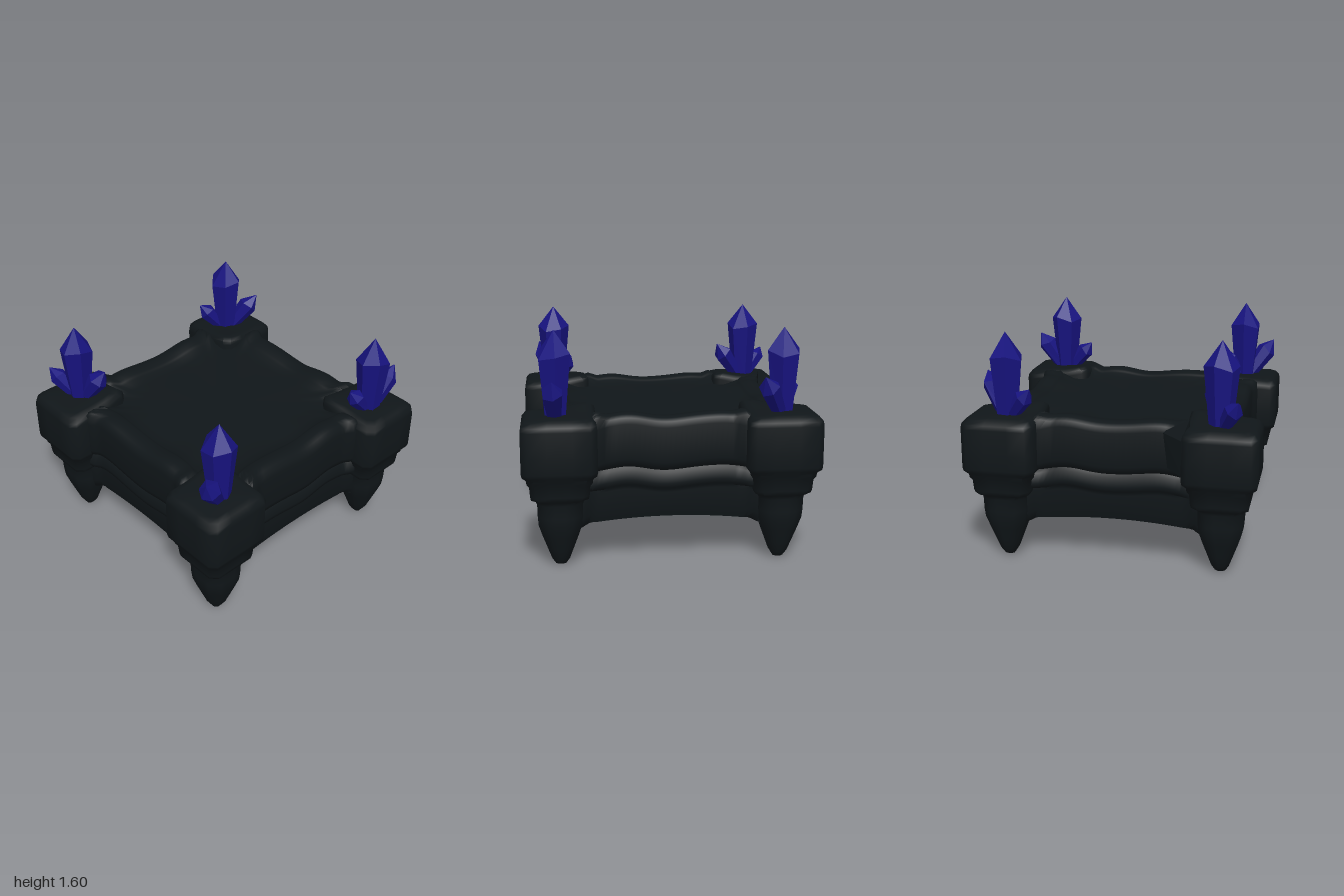
import * as THREE from 'three';
import { toCreasedNormals } from 'three/addons/utils/BufferGeometryUtils.js';
import { ConvexGeometry } from 'three/addons/geometries/ConvexGeometry.js';

const rock = new THREE.MeshStandardMaterial({ color: 0x101619 });
const gem = new THREE.MeshStandardMaterial({ color: 0x17137f, flatShading: true });
const { smoothstep } = THREE.MathUtils;

// Skin closed rings, listed from bottom to top; point(r, i) gives a position
function loft(rings, n, point) {
  const pos = [], index = [];
  for (let r = 0; r < rings; r++) {
    for (let i = 0; i < n; i++) {
      pos.push(...point(r, i));
      if (r === rings - 1) continue;
      const a = r * n + i, b = r * n + (i + 1) % n;
      index.push(a, a + n, b, b, a + n, b + n);
    }
  }
  const geo = new THREE.BufferGeometry();
  geo.setAttribute('position', new THREE.Float32BufferAttribute(pos, 3));
  geo.setIndex(index);
  return toCreasedNormals(geo, 1);
}

function add(parent, name, geo, mat) {
  const mesh = new THREE.Mesh(geo, mat);
  mesh.name = name;
  parent.add(mesh);
  return mesh;
}

// Square slab with layered sides and wavy strata; profile is [half width, y]
function slabGeometry() {
  const profile = [
    [0, 0.32], [0.5, 0.32], [0.7, 0.31], [0.745, 0.315], [0.765, 0.38], [0.775, 0.49],
    [0.775, 0.51], [0.805, 0.53], [0.81, 0.56], [0.8, 0.63], [0.785, 0.65], [0.82, 0.67],
    [0.83, 0.71], [0.83, 0.95], [0.82, 0.99], [0.795, 1.01], [0.75, 1.015],
    [0.685, 1.01], [0.67, 1.0], [0.655, 0.99], [0.57, 0.985], [0.45, 0.985], [0, 0.985],
  ];
  const side = 48;
  return loft(profile.length, side * 4, (r, i) => {
    const [h, y] = profile[r];
    const u = h * ((i % side) / side * 2 - 1), k = Math.floor(i / side);
    const a = Math.abs(u);
    // sides swell and the rim climbs where the slab meets the posts
    const shift = y < 0.95 ? (0.83 - h) * 1.6 : 0;
    const flare = h > 0.6 && a < 0.66 ? smoothstep(a, 0.41 + shift, 0.51 + shift) : 0;
    const out = h + 0.035 * flare;
    // strata ripple along each side, fading inside the posts and across the top panel
    const fade = 1 - smoothstep(a, 0.5, 0.57);
    const rim = y > 0.95 ? smoothstep(h, 0.45, 0.74) * fade : 1;
    const ripple = 0.014 * (1 - Math.cos(Math.min(a, 0.5) / 0.3 * Math.PI)) + 0.003 * Math.sin(u * 17 + k);
    const sag = -0.12 * Math.min(a, 0.5) ** 2 - 0.035 * smoothstep(a, 0.53, 0.63);
    const wave = y > 0.45 ? ripple * rim : sag * h / 0.75;
    const climb = y > 0.98 ? 0.035 * flare * fade : 0;
    const c = [[out, u], [-u, out], [-out, -u], [u, -out]][k];
    return [c[0], y + wave + climb, c[1]];
  });
}

// Chamfered block stepping down to a pointed foot; profile is [half width, y, chamfer share]
function postGeometry(sx, sz) {
  const profile = [
    [0, 0, 0.5], [0.035, 0.01, 0.5], [0.06, 0.05, 0.5], [0.085, 0.12, 0.5], [0.12, 0.22, 0.48],
    [0.145, 0.3, 0.45], [0.15, 0.36, 0.42], [0.152, 0.45, 0.4], [0.16, 0.475, 0.35],
    [0.19, 0.495, 0.25], [0.195, 0.52, 0.22], [0.2, 0.59, 0.2], [0.215, 0.61, 0.2],
    [0.22, 0.64, 0.2], [0.245, 0.665, 0.18], [0.25, 0.69, 0.17], [0.25, 0.8, 0.17],
    [0.25, 0.97, 0.17], [0.245, 1.0, 0.18], [0.22, 1.03, 0.2], [0.18, 1.04, 0.2], [0, 1.04, 0.2],
  ];
  return loft(profile.length, 16, (r, i) => {
    const [h, y, share] = profile[r];
    const k = Math.floor(i / 4), j = i % 4, c = 1 - share;
    // one side: start, two inner points, end of the straight run
    const u = h * c * [-1, -0.4, 0.4, 1][j];
    const [x, z] = [[h, u], [-u, h], [-h, -u], [u, -h]][k];
    // tops climb slightly toward the middle of the slab
    const inward = Math.max(0, -(x * sx + z * sz) / 0.5);
    const lift = y > 0.95 ? 0.07 * inward * inward : 0;
    return [x, y + lift, z];
  });
}

// Six-sided crystal, widening upward to an uneven shoulder and a pointed cap
function crystalGeometry(radius, height) {
  const p = [[0, 0], [0.66, 0], [1, 0.7], [0, 1]];
  const geo = new THREE.LatheGeometry(p.map(([x, y]) => new THREE.Vector2(x * radius, y * height)), 6);
  const pos = geo.attributes.position;
  for (let i = 0; i <= 6; i++) {
    pos.setY(i * 4 + 2, height * (0.7 + 0.04 * Math.sin(i * Math.PI * 2 / 3)));
  }
  return geo;
}

// Small crystal leaning outward to a given horizontal tip offset
function leaningCrystal(parent, dx, dz, rise, radius) {
  const tip = new THREE.Vector3(dx, rise, dz);
  const base = new THREE.Vector3(dx * 0.15, -0.01, dz * 0.15);
  const axis = tip.clone().sub(base);
  const m = add(parent, 'smallCrystal', crystalGeometry(radius, axis.length()), gem);
  m.position.copy(base);
  m.quaternion.setFromUnitVectors(new THREE.Vector3(0, 1, 0), axis.normalize());
}

export function createModel() {
  const model = new THREE.Group();
  add(model, 'slab', slabGeometry(), rock);

  // Corner signs, crystal spin, and tip offsets of the two small crystals
  const corners = [
    { name: 'frontRight', s: [-1, 1], c: [-0.76, 0.73], spin: 0.2, a: [0.22, -0.08], b: [-0.18, 0.13] },
    { name: 'frontLeft', s: [1, 1], c: [0.765, 0.73], spin: 0.5, a: [0.12, 0.22], b: [-0.13, -0.16] },
    { name: 'backRight', s: [-1, -1], c: [-0.765, -0.73], spin: 0.8, a: [0.16, -0.19], b: [-0.1, 0.19] },
    { name: 'backLeft', s: [1, -1], c: [0.77, -0.73], spin: 0.05, a: [0.02, -0.23], b: [-0.01, 0.21] },
  ];
  for (const { name, s, c, spin, a, b } of corners) {
    const post = add(model, name + 'Post', postGeometry(...s), rock);
    post.position.set(s[0] * 0.75, 0, s[1] * 0.75);

    const cluster = new THREE.Group();
    cluster.name = name + 'Crystals';
    cluster.position.set(c[0], 1.03, c[1]);
    add(cluster, 'mainCrystal', crystalGeometry(0.12, 0.57), gem).rotation.y = spin;
    leaningCrystal(cluster, ...a, 0.265, 0.074);
    leaningCrystal(cluster, ...b, 0.205, 0.064);
    model.add(cluster);
  }

  // Broken wedge of rock beside the front right post
  const wedge = [
    [-0.82, 0.74, 0.38], [-0.82, 0.98, 0.35], [-0.96, 0.72, 0.51], [-0.965, 0.97, 0.5],
    [-0.78, 0.72, 0.55], [-0.86, 1.09, 0.54],
  ].map(p => new THREE.Vector3(...p));
  add(model, 'rockWedge', new ConvexGeometry(wedge), rock);
  return model;
}
